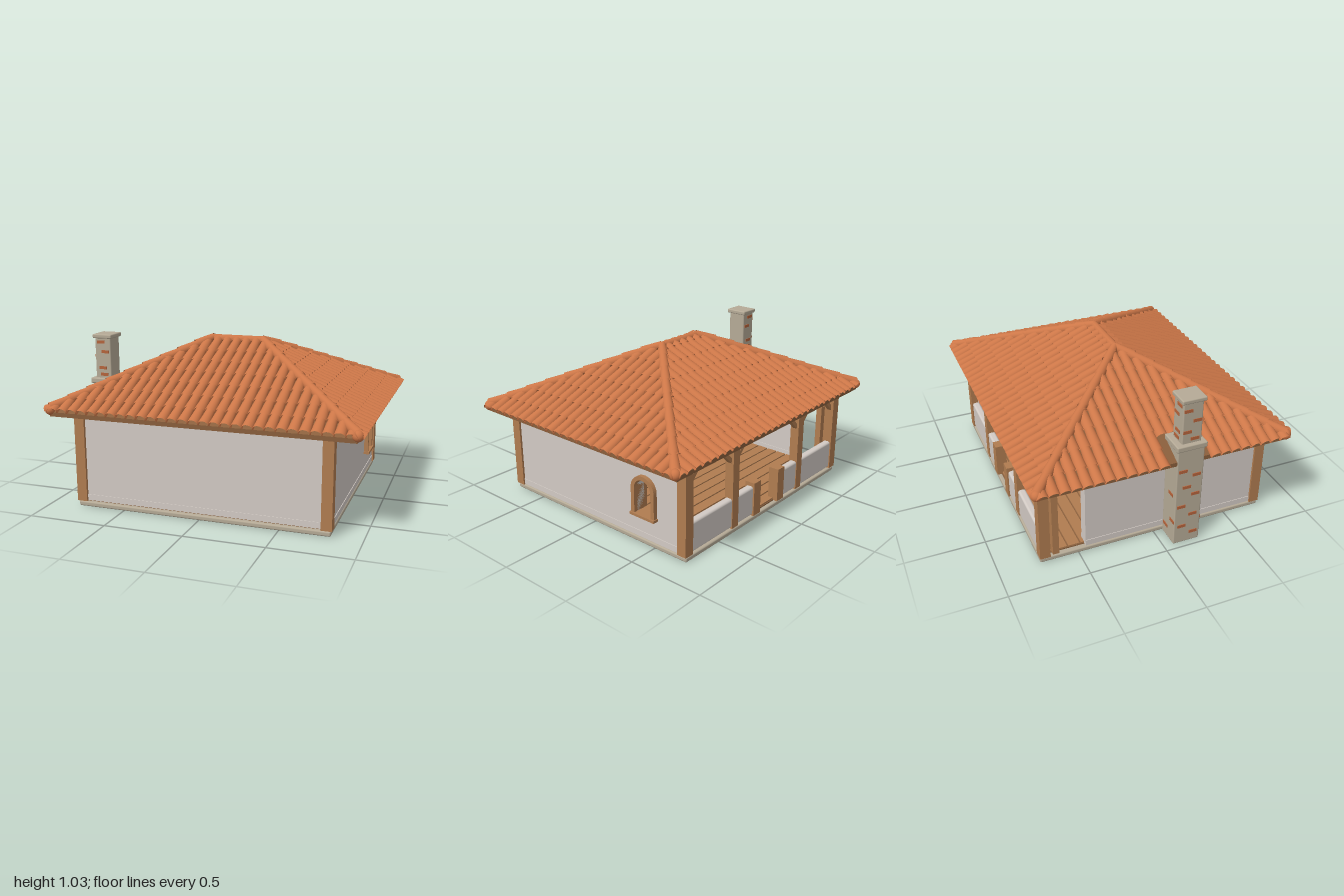
import * as THREE from 'three';
import { mergeGeometries } from 'three/addons/utils/BufferGeometryUtils.js';
import { RoundedBoxGeometry } from 'three/addons/geometries/RoundedBoxGeometry.js';
import { ConvexGeometry } from 'three/addons/geometries/ConvexGeometry.js';

const mat = (color, side = THREE.FrontSide) => new THREE.MeshStandardMaterial({ color, side });
const tileMat = mat(0xcd7748, THREE.DoubleSide);
const wood = mat(0xb07c50), darkWood = mat(0x8a5f3c), plaster = mat(0xd2cac4);
const stone = mat(0xb5aa96), brick = mat(0xb5643c);
const V = (x, y, z) => new THREE.Vector3(x, y, z);

// Roof measures: tile line at the eave and at the ridge
const RUN = 0.82, HIP = 0.17, EAVE_Y = 0.612, RIDGE_Y = 0.992;
const SLOPE = (RIDGE_Y - EAVE_Y) / RUN;

export function createModel() {
  const model = new THREE.Group();
  const add = (name, geo, material, parent = model) => {
    const m = new THREE.Mesh(geo, material);
    m.name = name;
    parent.add(m);
    return m;
  };
  const group = (name) => {
    const g = new THREE.Group();
    g.name = name;
    model.add(g);
    return g;
  };
  // Box given by its limits, optionally with rounded edges
  const box = (name, x0, x1, y0, y1, z0, z1, material, parent, round = 0) => {
    const s = [x1 - x0, y1 - y0, z1 - z0];
    const geo = round ? new RoundedBoxGeometry(...s, 2, round) : new THREE.BoxGeometry(...s);
    const m = add(name, geo, material, parent);
    m.position.set((x0 + x1) / 2, (y0 + y1) / 2, (z0 + z1) / 2);
    return m;
  };

  // Plinth and plank floor
  box('plinth', -0.81, 0.81, 0, 0.032, -0.745, 0.745, stone, model, 0.01);
  box('floorBase', -0.78, 0.78, 0.03, 0.04, -0.72, 0.72, darkWood);
  const floor = group('floorPlanks');
  const planks = 18, pw = 1.44 / planks;
  for (let i = 0; i < planks; i++) {
    const z = -0.72 + i * pw;
    box('plank', -0.78, 0.78, 0.038, 0.05, z + 0.005, z + pw - 0.005, wood, floor);
  }

  // Walls: front is plain, the sides are outlined in (z, y) and extruded in x
  box('frontWall', -0.76, 0.76, 0.04, 0.59, 0.67, 0.73, plaster);
  box('frontSkirt', -0.76, 0.76, 0.04, 0.078, 0.66, 0.734, plaster);
  const extrudeX = (shape, depth, outerX) =>
    new THREE.ExtrudeGeometry(shape, { depth, bevelEnabled: false, curveSegments: 12 })
      .rotateY(-Math.PI / 2).translate(outerX, 0, 0);
  const polygon = (pts) => new THREE.Shape(pts.map(([a, b]) => new THREE.Vector2(a, b)));
  const arch = (Type, zc, r, y0, ySpring) => {
    const p = new Type();
    p.moveTo(zc - r, y0);
    p.lineTo(zc + r, y0);
    p.lineTo(zc + r, ySpring);
    p.absarc(zc, ySpring, r, 0, Math.PI, false);
    p.lineTo(zc - r, y0);
    return p;
  };
  const WZ = -0.43;
  const leftWall = polygon([[-0.7, 0.04], [0.7, 0.04], [0.7, 0.59], [-0.7, 0.59]]);
  leftWall.holes.push(arch(THREE.Path, WZ, 0.064, 0.2, 0.363));
  add('leftWall', extrudeX(leftWall, 0.06, 0.805), plaster);
  box('leftSkirt', 0.735, 0.809, 0.04, 0.078, -0.69, 0.69, plaster);
  const rightWall = polygon([[-0.455, 0.04], [0.7, 0.04], [0.7, 0.59],
    [-0.7, 0.59], [-0.7, 0.52], [-0.455, 0.52]]);
  add('rightWall', extrudeX(rightWall, 0.07, -0.735), plaster);
  box('rightSkirt', -0.809, -0.73, 0.04, 0.078, -0.455, 0.69, plaster);

  // Arched window surround with sill
  const frame = arch(THREE.Shape, WZ, 0.09, 0.2, 0.363);
  frame.holes.push(arch(THREE.Path, WZ, 0.064, 0.2, 0.363));
  add('windowFrame', extrudeX(frame, 0.11, 0.832), wood);
  box('windowSill', 0.725, 0.842, 0.187, 0.203, WZ - 0.096, WZ + 0.096, wood);

  // Side doorway lintel and jamb
  box('doorLintel', -0.812, -0.73, 0.49, 0.525, -0.69, -0.455, wood);
  box('doorJamb', -0.81, -0.74, 0.04, 0.5, -0.665, -0.625, wood);

  // Corner posts, porch posts, gate posts and parapets
  for (const s of [-1, 1]) {
    for (const t of [-1, 1]) {
      const x = s * 0.785, z = t * 0.715;
      box('cornerPost', x - 0.033, x + 0.033, 0.035, 0.59, z - 0.033, z + 0.033, wood);
    }
    box('porchPost', s * 0.35 - 0.03, s * 0.35 + 0.03, 0.035, 0.59, -0.745, -0.685, wood);
    box('gatePost', s * 0.13 - 0.035, s * 0.13 + 0.035, 0.035, 0.26, -0.75, -0.68, wood);
    const [x0, x1] = s > 0 ? [0.14, 0.77] : [-0.77, -0.14];
    box('parapet', x0, x1, 0.04, 0.235, -0.74, -0.69, plaster, model, 0.015);
  }
  box('porchBeam', -0.8, 0.8, 0.56, 0.59, -0.74, -0.69, wood);
  const brace = (x, dir) => {
    const m = add('brace', new THREE.BoxGeometry(0.025, 0.16, 0.03), wood);
    m.position.set(x + dir * 0.06, 0.515, -0.715);
    m.rotation.z = -dir * Math.PI / 4;
  };
  for (const s of [-1, 1]) {
    brace(s * 0.35, 1);
    brace(s * 0.35, -1);
    brace(s * 0.785, -s);
  }

  // Roof deck with flat soffit
  const deck = [];
  for (const s of [-1, 1]) {
    for (const t of [-1, 1]) {
      deck.push(V(s * 0.955, 0.585, t * 0.8), V(s * 0.955, 0.612, t * 0.8));
    }
    deck.push(V(s * HIP, RIDGE_Y - 0.012, 0));
  }
  add('roofDeck', new ConvexGeometry(deck), darkWood);

  // One tapered half-round tile from a (low, wide) to b (high, narrow)
  const tile = (a, b, rLow, rHigh, arc = Math.PI) => {
    const y = b.clone().sub(a);
    const len = y.length();
    y.normalize();
    const z = V(0, 1, 0).addScaledVector(y, -y.y).normalize();
    const x = y.clone().cross(z);
    return new THREE.CylinderGeometry(rHigh, rLow, len, 12, 1, true, -arc / 2, arc)
      .translate(0, len / 2, 0)
      .applyMatrix4(new THREE.Matrix4().makeBasis(x, y, z).setPosition(a));
  };
  // Overlapping tiles along a straight line
  const course = (a, b, step, rLow, rHigh, arc) => {
    const total = a.distanceTo(b), out = [];
    for (let d = 0; d < total - 0.005; d += step) {
      const p = a.clone().lerp(b, d / total);
      const q = a.clone().lerp(b, Math.min(1, (d + step * 1.15) / total));
      out.push(tile(p, q, rLow, rHigh, arc));
    }
    return out;
  };

  // Four tiled slopes; half is the half width of the eave, ridge the half width on top
  const slope = (name, count, half, ridge, toWorld, startAt = () => 0) => {
    const parts = [];
    for (let i = 0; i < count; i++) {
      const u = -half + (2 * half * i) / (count - 1);
      const run = RUN - Math.max(0, Math.abs(u) - ridge);
      const d0 = startAt(u);
      if (run - d0 < 0.01) continue;
      const at = (d) => toWorld(u, EAVE_Y + d * SLOPE, RUN - d);
      parts.push(...course(at(d0), at(run), 0.122, 0.037, 0.028));
    }
    add(name, mergeGeometries(parts), tileMat);
  };
  slope('frontTiles', 29, 0.925, HIP, (u, y, d) => V(u, y, d));
  slope('backTiles', 29, 0.925, HIP, (u, y, d) => V(u, y, -d));
  slope('leftTiles', 24, 0.765, 0, (u, y, d) => V(d + HIP, y, u));
  slope('rightTiles', 24, 0.765, 0, (u, y, d) => V(-d - HIP, y, u),
    (u) => (u > 0.015 && u < 0.275 ? 0.19 : 0));

  // Hip and ridge caps with rounded corner ends
  const caps = [];
  for (const s of [-1, 1]) {
    for (const t of [-1, 1]) {
      const low = V(s * 0.955, EAVE_Y + 0.025, t * 0.79);
      caps.push(...course(low, V(s * HIP, RIDGE_Y + 0.012, 0), 0.13, 0.033, 0.025, Math.PI * 1.3));
      add('cornerBall', new THREE.SphereGeometry(0.033, 16, 12), tileMat)
        .position.set(s * 0.955, EAVE_Y + 0.013, t * 0.79);
    }
  }
  add('hipCaps', mergeGeometries(caps), tileMat);
  add('ridgeCap', new THREE.CylinderGeometry(0.027, 0.027, 0.37, 12).rotateZ(Math.PI / 2), tileMat)
    .position.y = RIDGE_Y + 0.005;

  // Chimney
  const chimney = group('chimney');
  box('lowerShaft', -0.96, -0.805, 0, 0.7, 0.06, 0.235, stone, chimney, 0.008);
  box('collar', -0.972, -0.8, 0.685, 0.722, 0.05, 0.245, stone, chimney, 0.008);
  box('upperShaft', -0.945, -0.83, 0.71, 1, 0.088, 0.215, stone, chimney, 0.008);
  box('chimneyCap', -0.956, -0.818, 0.99, 1.018, 0.075, 0.23, stone, chimney, 0.008);
  // Exposed bricks on the z faces, then on the outer x face
  for (const [x, y] of [[-0.9, 0.965], [-0.87, 0.9], [-0.89, 0.79], [-0.88, 0.745],
    [-0.85, 0.56], [-0.93, 0.165], [-0.85, 0.08], [-0.9, 0.35]]) {
    const [z0, z1] = y > 0.7 ? [0.084, 0.219] : [0.056, 0.239];
    box('brick', x - 0.027, x + 0.027, y - 0.01, y + 0.01, z0, z1, brick, chimney);
  }
  for (const [z, y] of [[0.12, 0.94], [0.18, 0.87], [0.12, 0.8], [0.17, 0.75], [0.1, 0.54],
    [0.19, 0.5], [0.13, 0.42], [0.19, 0.36], [0.1, 0.28], [0.18, 0.21], [0.11, 0.13], [0.19, 0.07]]) {
    const x = y > 0.7 ? -0.949 : -0.965;
    box('brick', x, x + 0.03, y - 0.01, y + 0.01, z - 0.027, z + 0.027, brick, chimney);
  }
  return model;
}
